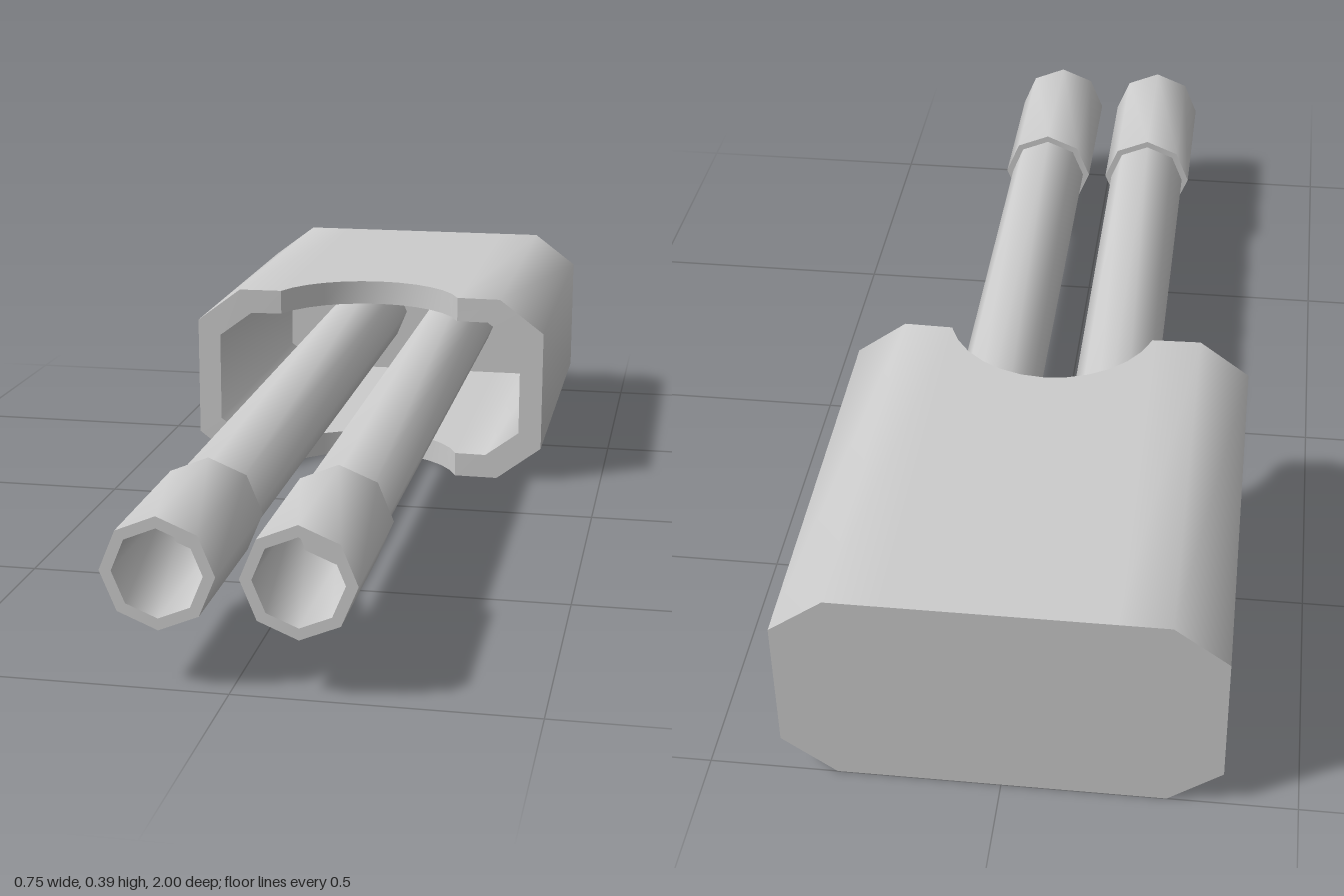
import * as THREE from 'three';
import { toCreasedNormals } from 'three/addons/utils/BufferGeometryUtils.js';

const material = new THREE.MeshStandardMaterial({ color: 0xcccccc });
const BACK = -1, FRONT = -0.23, WALL = 0.05, MID_Y = 0.195;
const ARCH_X = 0.19, ARCH_R = 0.2, ARCH_Z = -0.17, ARCH_STEPS = 12;

// Perimeter of the chamfered housing, counter-clockwise, as [x, y, front z];
// the top and bottom panels carry a rounded notch.
function perimeter(sideX, cornerX, sideY, topY) {
  const notch = (s) => {
    const pts = [];
    const a = Math.asin(ARCH_X / ARCH_R);
    for (let i = 0; i <= ARCH_STEPS; i++) {
      const t = a - (2 * a * i) / ARCH_STEPS;
      const z = Math.min(FRONT, ARCH_Z - ARCH_R * Math.cos(t));
      pts.push([s * ARCH_R * Math.sin(t), MID_Y + s * topY, z]);
    }
    return pts;
  };
  const half = (s) => [
    [s * sideX, MID_Y - s * sideY, FRONT],
    [s * sideX, MID_Y + s * sideY, FRONT],
    [s * cornerX, MID_Y + s * topY, FRONT],
    ...notch(s),
    [-s * cornerX, MID_Y + s * topY, FRONT],
  ];
  return [...half(1), ...half(-1)];
}

// Joins successive loops into a skin; single-point loops close the ends.
function skin(loops) {
  const pos = [];
  const n = Math.max(...loops.map((l) => l.length));
  const at = (l, j) => l[j % l.length];
  for (let i = 0; i < loops.length - 1; i++) {
    const [p, q] = [loops[i], loops[i + 1]];
    for (let j = 0; j < n; j++) {
      const [a, b, c, d] = [at(p, j), at(p, j + 1), at(q, j + 1), at(q, j)];
      if (p.length > 1) pos.push(...a, ...b, ...c);
      if (q.length > 1) pos.push(...a, ...c, ...d);
    }
  }
  const geo = new THREE.BufferGeometry();
  geo.setAttribute('position', new THREE.Float32BufferAttribute(pos, 3));
  return toCreasedNormals(geo, 1.0);
}

function createHousing() {
  const outer = perimeter(0.373, 0.28, 0.125, 0.195);
  const inner = perimeter(0.325, 0.255, 0.093, 0.145);
  const flat = (loop, z) => loop.map(([x, y]) => [x, y, z]);
  const geo = skin([
    [[0, MID_Y, BACK]],
    flat(outer, BACK),
    outer,
    inner,
    flat(inner, BACK + WALL),
    [[0, MID_Y, BACK + WALL]],
  ]);
  const mesh = new THREE.Mesh(geo, material);
  mesh.name = 'housing';
  return mesh;
}

// Eight-sided turned part along z from [radius, z] pairs
function turned(name, profile) {
  const geo = new THREE.LatheGeometry(profile.map(([r, z]) => new THREE.Vector2(r, z)), 8);
  geo.rotateX(Math.PI / 2);
  const mesh = new THREE.Mesh(toCreasedNormals(geo, 1.0), material);
  mesh.name = name;
  return mesh;
}

export function createModel() {
  const model = new THREE.Group();
  model.name = 'twinTubeConnector';
  model.add(createHousing());

  // Two tubes, each with a wider hollow sleeve at the tip
  for (const side of [1, -1]) {
    const tube = new THREE.Group();
    tube.name = side > 0 ? 'leftTube' : 'rightTube';
    tube.add(
      turned('shaft', [[0.081, BACK + WALL], [0.081, 0.68]]),
      turned('sleeve', [[0, 0.675], [0.095, 0.675], [0.095, 1], [0.075, 1], [0.075, 0.7], [0, 0.7]]),
    );
    tube.position.set(side * 0.114, MID_Y, 0);
    model.add(tube);
  }
  return model;
}
